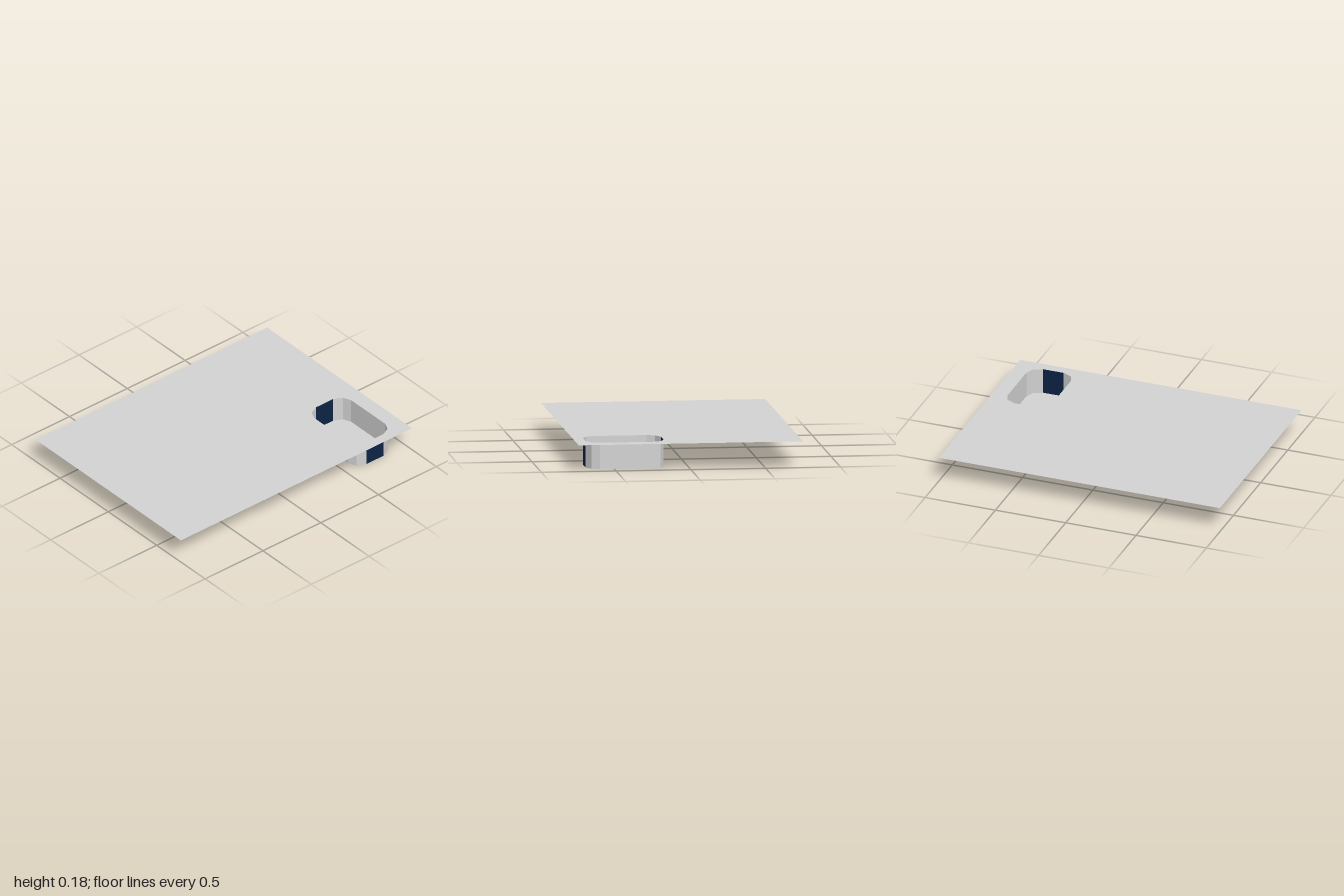
import * as THREE from 'three';

const HEIGHT = 0.176;

export function createModel() {
  const model = new THREE.Group();
  model.name = 'counterWithBasin';

  const grey = new THREE.MeshStandardMaterial({ color: 0xd2d2d2, side: THREE.DoubleSide, flatShading: true });
  grey.name = 'light grey';
  const navy = new THREE.MeshStandardMaterial({ color: 0x0c2244, side: THREE.DoubleSide, flatShading: true });
  navy.name = 'navy';

  const add = (name, geometry, material, y = 0) => {
    const mesh = new THREE.Mesh(geometry, material);
    mesh.name = name;
    mesh.position.y = y;
    model.add(mesh);
  };

  // Basin outline: one bevelled corner mirrored to four, as [x, z] pairs
  const cx = 0.419, cz = -0.736;
  const corner = [[0.261, 0.073], [0.231, 0.135], [0.175, 0.159]];
  const quarter = (sx, sz) => corner.map(([x, z]) => [cx + sx * x, cz + sz * z]);
  const outline = [
    ...quarter(1, 1), ...quarter(-1, 1).reverse(),
    ...quarter(-1, -1), ...quarter(1, -1).reverse(),
  ];
  // Shapes are drawn in x and -z, then laid flat facing up
  const flat = outline.map(([x, z]) => new THREE.Vector2(x, -z));

  // Thin counter sheet with the basin cut out
  const sheet = new THREE.Shape([[-0.75, -1], [0.75, -1], [0.75, 1], [-0.75, 1]].map(p => new THREE.Vector2(...p)));
  sheet.holes.push(new THREE.Path(flat));
  add('counterSheet', new THREE.ShapeGeometry(sheet).rotateX(-Math.PI / 2), grey, HEIGHT);

  // Basin floor
  add('basinFloor', new THREE.ShapeGeometry(new THREE.Shape(flat)).rotateX(-Math.PI / 2), grey);

  // Basin walls: one panel per outline edge, navy on the two short ends
  outline.forEach(([x0, z0], i) => {
    const [x1, z1] = outline[(i + 1) % outline.length];
    const isEnd = Math.abs(x1 - x0) < 0.001;
    const panel = new THREE.PlaneGeometry(Math.hypot(x1 - x0, z1 - z0), HEIGHT);
    panel.rotateY(Math.atan2(z1 - z0, -(x1 - x0)));
    panel.translate((x0 + x1) / 2, HEIGHT / 2, (z0 + z1) / 2);
    add(isEnd ? 'basinEndWall' : 'basinWall', panel, isEnd ? navy : grey);
  });

  return model;
}
